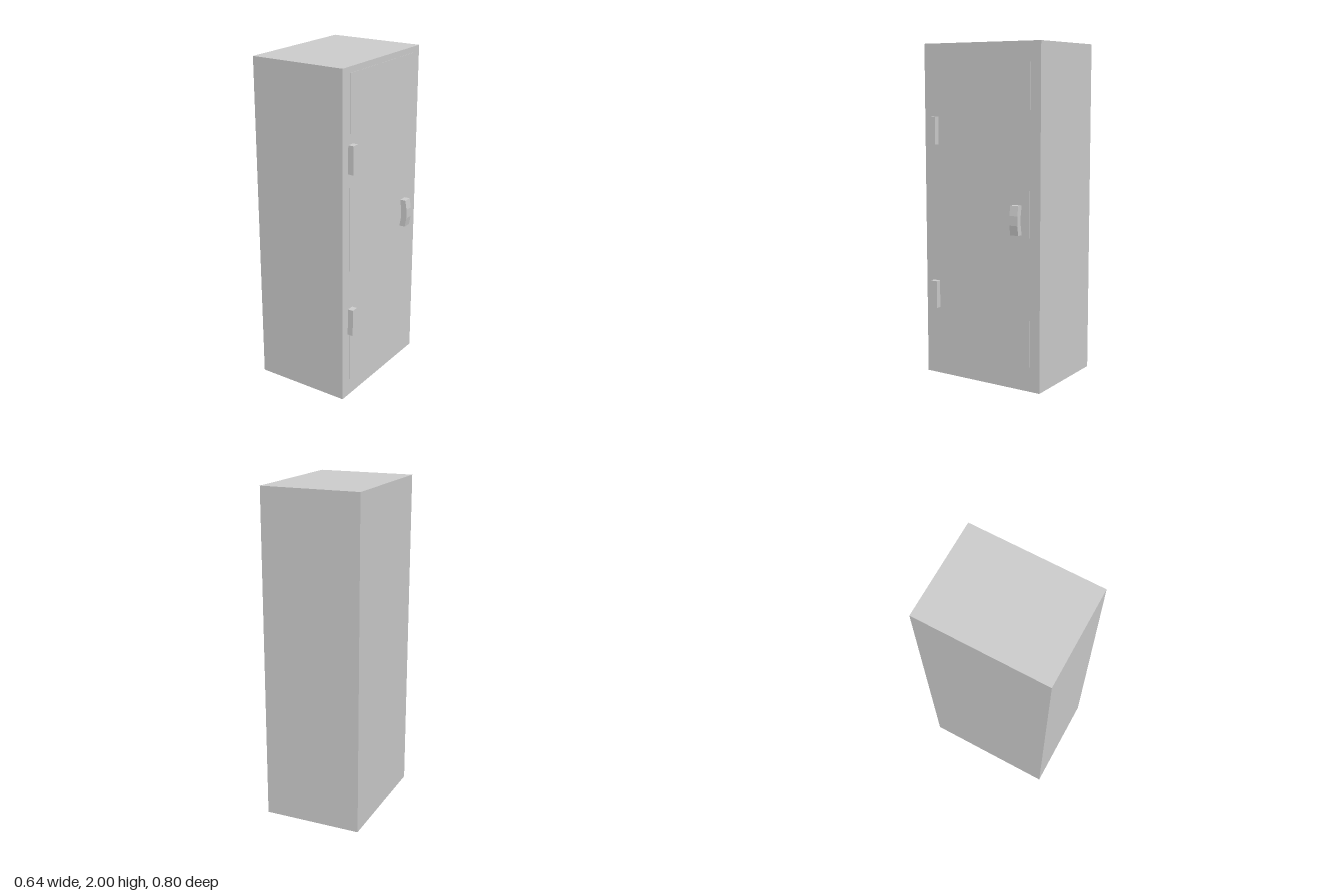
import * as THREE from 'three';

export function createModel() {
  const group = new THREE.Group();
  const material = new THREE.MeshStandardMaterial({ color: 0xcccccc, flatShading: true });
  const faceX = 0.275; // the side that carries the door

  function add(name, geometry, x, y, z) {
    const mesh = new THREE.Mesh(geometry, material);
    mesh.name = name;
    mesh.position.set(x, y, z);
    group.add(mesh);
  }

  function box(name, [x0, x1], [y0, y1], [z0, z1]) {
    add(name, new THREE.BoxGeometry(x1 - x0, y1 - y0, z1 - z0),
      (x0 + x1) / 2, (y0 + y1) / 2, (z0 + z1) / 2);
  }

  // Cabinet and its slightly raised door
  box('cabinet', [-0.322, faceX], [0, 2], [-0.4, 0.4]);
  box('door', [faceX - 0.01, faceX + 0.002], [0.105, 1.965], [-0.332, 0.33]);

  // Hinges straddling the door edge
  for (const [name, y] of [['lowerHinge', 0.5], ['upperHinge', 1.492]]) {
    box(name, [faceX - 0.005, 0.31], [y - 0.083, y + 0.083], [0.302, 0.346]);
  }

  // Bowed handle: inner and outer edges arch away from the door in three segments
  const shape = new THREE.Shape([
    [0.275, -0.085], [0.312, -0.085], [0.322, -0.028], [0.322, 0.028],
    [0.312, 0.085], [0.275, 0.085], [0.285, 0.028], [0.285, -0.028],
  ].map(([x, y]) => new THREE.Vector2(x, y)));
  add('handle', new THREE.ExtrudeGeometry(shape, { depth: 0.053, bevelEnabled: false }), 0, 1, -0.278);

  return group;
}
